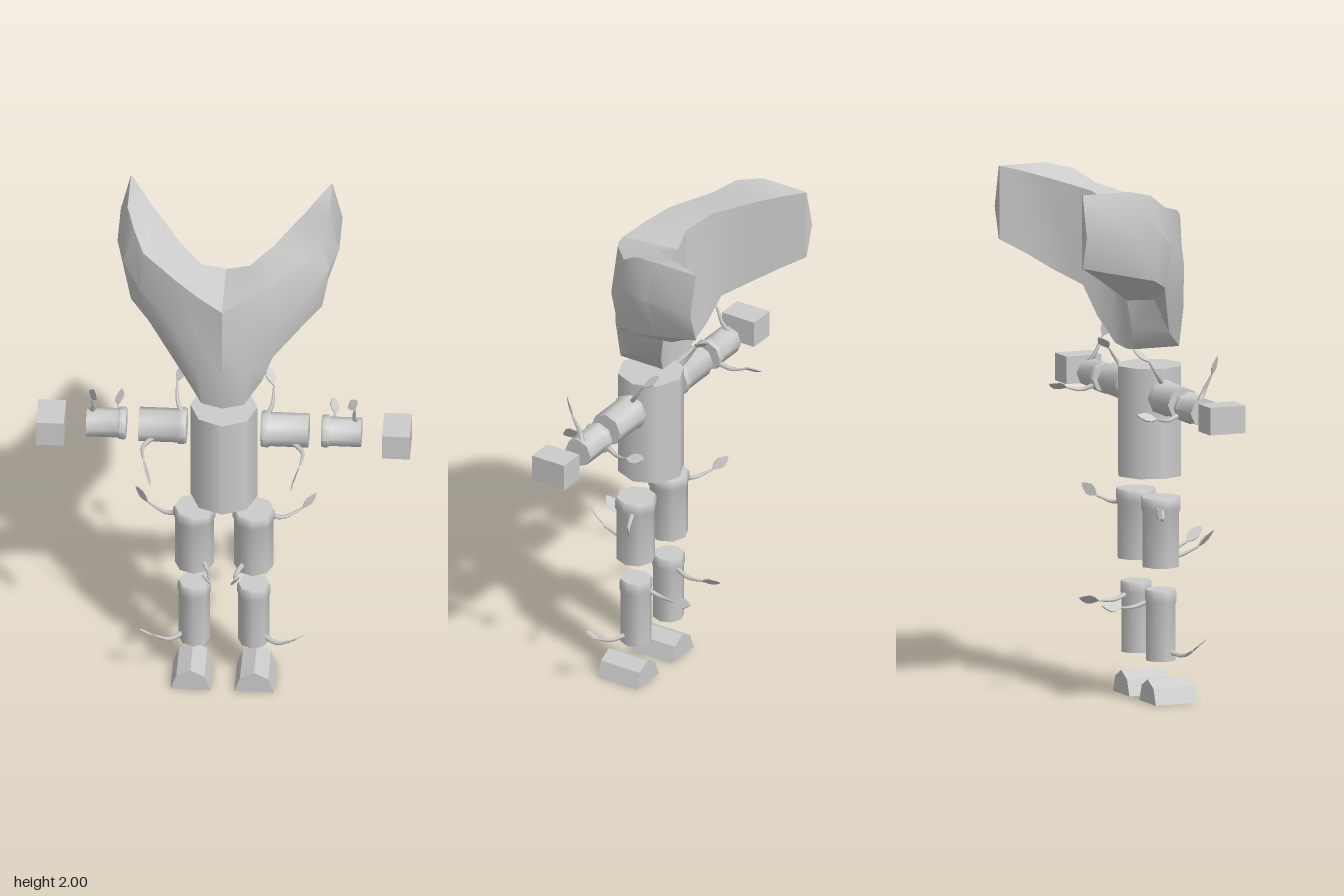
import * as THREE from 'three';
import { toCreasedNormals } from 'three/addons/utils/BufferGeometryUtils.js';

const material = new THREE.MeshStandardMaterial({ color: 0xcccccc });
const leafMaterial = new THREE.MeshStandardMaterial({ color: 0xcccccc, side: THREE.DoubleSide });
const UP = new THREE.Vector3(0, 1, 0);

function add(parent, name, geometry, x = 0, y = 0, z = 0, mat = material) {
  const mesh = new THREE.Mesh(geometry, mat);
  mesh.name = name;
  mesh.position.set(x, y, z);
  parent.add(mesh);
  return mesh;
}

// Curved head shield: cross-sections from the middle out to a wing tip, mirrored.
// Each section runs outer top, outer bulge, outer low, bottom front, bottom back, inner top.
function headGeometry() {
  const half = [
    [[0, 1.81, .23], [0, 1.66, .23], [0, 1.52, .23], [0, 1.335, .205], [0, 1.335, .01], [0, 1.83, -.015]],
    [[.09, 1.845, .19], [.09, 1.66, .2], [.1, 1.5, .2], [.08, 1.345, .19], [.08, 1.345, 0], [.09, 1.865, .005]],
    [[.175, 1.88, .14], [.19, 1.68, .16], [.185, 1.53, .13], [.145, 1.41, .12], [.155, 1.44, -.04], [.175, 1.915, -.055]],
    [[.31, 1.92, .025], [.325, 1.77, .05], [.29, 1.61, .035], [.2, 1.55, .035], [.2, 1.555, -.08], [.23, 1.94, -.13]],
    [[.35, 1.975, -.05], [.39, 1.84, -.03], [.36, 1.65, -.04], [.29, 1.6, -.03], [.28, 1.61, -.17], [.29, 1.965, -.21]],
    [[.38, 2, -.15], [.418, 1.84, -.15], [.375, 1.68, -.17], [.355, 1.67, -.18], [.325, 1.67, -.26], [.335, 1.985, -.28]],
    [[.38, 2, -.345], [.418, 1.84, -.345], [.38, 1.72, -.345], [.378, 1.72, -.345], [.375, 1.72, -.345], [.376, 2, -.345]],
  ];
  const mirrored = half.slice(1).reverse().map(s => s.map(([x, y, z]) => [-x, y, z]));
  const sections = [...mirrored, ...half];
  const n = 6, last = sections.length - 1, index = [];
  for (let i = 0; i < last; i++) {
    for (let j = 0; j < n; j++) {
      const a = i * n + j, b = i * n + (j + 1) % n;
      index.push(a, b, b + n, a, b + n, a + n);
    }
  }
  for (let j = 1; j < n - 1; j++) {
    index.push(0, j + 1, j, last * n, last * n + j, last * n + j + 1);
  }
  const g = new THREE.BufferGeometry();
  g.setAttribute('position', new THREE.Float32BufferAttribute(sections.flat(2), 3));
  g.setIndex(index);
  return toCreasedNormals(g.toNonIndexed(), 0.6);
}

// Log-like limb with a raised collar at its upper end, centred on its length
function limbGeometry(r, rim, length) {
  const profile = [[0, 0], [r, 0], [r, .79], [rim, .84], [rim, .96], [rim * .93, 1], [0, 1]]
    .map(([x, t]) => new THREE.Vector2(x, (t - .5) * length));
  return toCreasedNormals(new THREE.LatheGeometry(profile, 8).toNonIndexed(), 0.9);
}

// Tapering twig along a curve, ending in a flat pointed leaf
function addTwig(parent, name, points, side) {
  const path = points.map(([x, y, z]) => new THREE.Vector3(x * side, y, z));
  const tip = path.pop();
  const curve = new THREE.CatmullRomCurve3(path);
  const segments = 8, sides = 5;
  const stem = new THREE.TubeGeometry(curve, segments, .012, sides);
  const pos = stem.attributes.position, v = new THREE.Vector3();
  for (let i = 0; i < pos.count; i++) {
    const t = Math.floor(i / (sides + 1)) / segments;
    const centre = curve.getPointAt(t);
    v.fromBufferAttribute(pos, i).sub(centre).multiplyScalar(1 - .65 * t).add(centre);
    pos.setXYZ(i, v.x, v.y, v.z);
  }
  const twig = new THREE.Group();
  twig.name = name;
  parent.add(twig);
  add(twig, 'stem', stem);

  const base = path[path.length - 1];
  const dir = tip.clone().sub(base);
  const len = dir.length();
  const outline = [[0, 0], [.018, .3], [.022, .55], [.012, .82], [0, 1], [-.012, .82], [-.022, .55], [-.018, .3]];
  const shape = new THREE.Shape(outline.map(([x, t]) => new THREE.Vector2(x, t * len)));
  const blade = new THREE.ExtrudeGeometry(shape, { depth: .005, bevelEnabled: false });
  blade.translate(0, 0, -.0025).rotateY(side * Math.PI / 4);
  const leaf = add(twig, 'leaf', blade, base.x, base.y, base.z, leafMaterial);
  leaf.quaternion.setFromUnitVectors(UP, dir.normalize());
}

// Foot: low arched prism
function footGeometry() {
  const arch = [[-.075, 0], [.075, 0], [.053, .062], [0, .09], [-.053, .062]];
  const shape = new THREE.Shape(arch.map(p => new THREE.Vector2(...p)));
  return new THREE.ExtrudeGeometry(shape, { depth: .175, bevelEnabled: false });
}

// Twig paths on the model's left; the last point is the leaf tip
const TWIGS = {
  shoulderTwig: [[.15, 1.2, .1], [.178, 1.25, .06], [.183, 1.31, .02], [.155, 1.36, -.035]],
  upperArmTwig: [[.26, 1.14, .14], [.3, 1.12, .18], [.295, 1.105, .24], [.265, 1.05, .325]],
  forearmTopTwig: [[.51, 1.2, .08], [.492, 1.23, .1], [.495, 1.3, .135], [.483, 1.37, .165]],
  forearmBackTwig: [[.38, 1.14, .06], [.395, 1.12, 0], [.41, 1.13, -.05], [.4, 1.15, -.13]],
  thighSideTwig: [[.16, .745, .08], [.22, .715, .06], [.29, .73, .02], [.34, .775, -.02]],
  thighFrontTwig: [[.08, .56, .14], [.05, .54, .2], [.055, .57, .28], [.055, .63, .345]],
  shinSideTwig: [[.14, .2, .11], [.2, .185, .15], [.26, .21, .165], [.31, .26, .195]],
  shinBackTwig: [[.1, .385, .06], [.09, .365, 0], [.095, .365, -.06], [.105, .38, -.14]],
};

export function createModel() {
  const model = new THREE.Group();
  model.name = 'woodenFigure';
  add(model, 'head', headGeometry());

  // Torso
  const torso = new THREE.CylinderGeometry(.127, .127, .42, 8);
  add(model, 'torso', torso, 0, 1.06, .105);

  for (const side of [1, -1]) {
    const prefix = side > 0 ? 'left' : 'right';
    const body = new THREE.Group();
    body.name = prefix + 'Limbs';
    model.add(body);

    // Arm, collars toward the body
    const upperArm = add(body, prefix + 'UpperArm', limbGeometry(.065, .07, .18), side * .23, 1.165, .1);
    const forearm = add(body, prefix + 'Forearm', limbGeometry(.056, .062, .15), side * .443, 1.162, .095);
    upperArm.rotation.z = forearm.rotation.z = side * Math.PI / 2;
    add(body, prefix + 'Hand', new THREE.BoxGeometry(.105, .105, .145), side * .652, 1.16, .107);

    // Leg
    add(body, prefix + 'Thigh', limbGeometry(.074, .08, .265), side * .112, .65, .1);
    add(body, prefix + 'Shin', limbGeometry(.059, .063, .27), side * .112, .295, .1);
    add(body, prefix + 'Foot', footGeometry(), side * .12, 0, .042);

    // Twigs
    for (const [name, points] of Object.entries(TWIGS)) addTwig(body, name, points, side);
  }
  return model;
}
